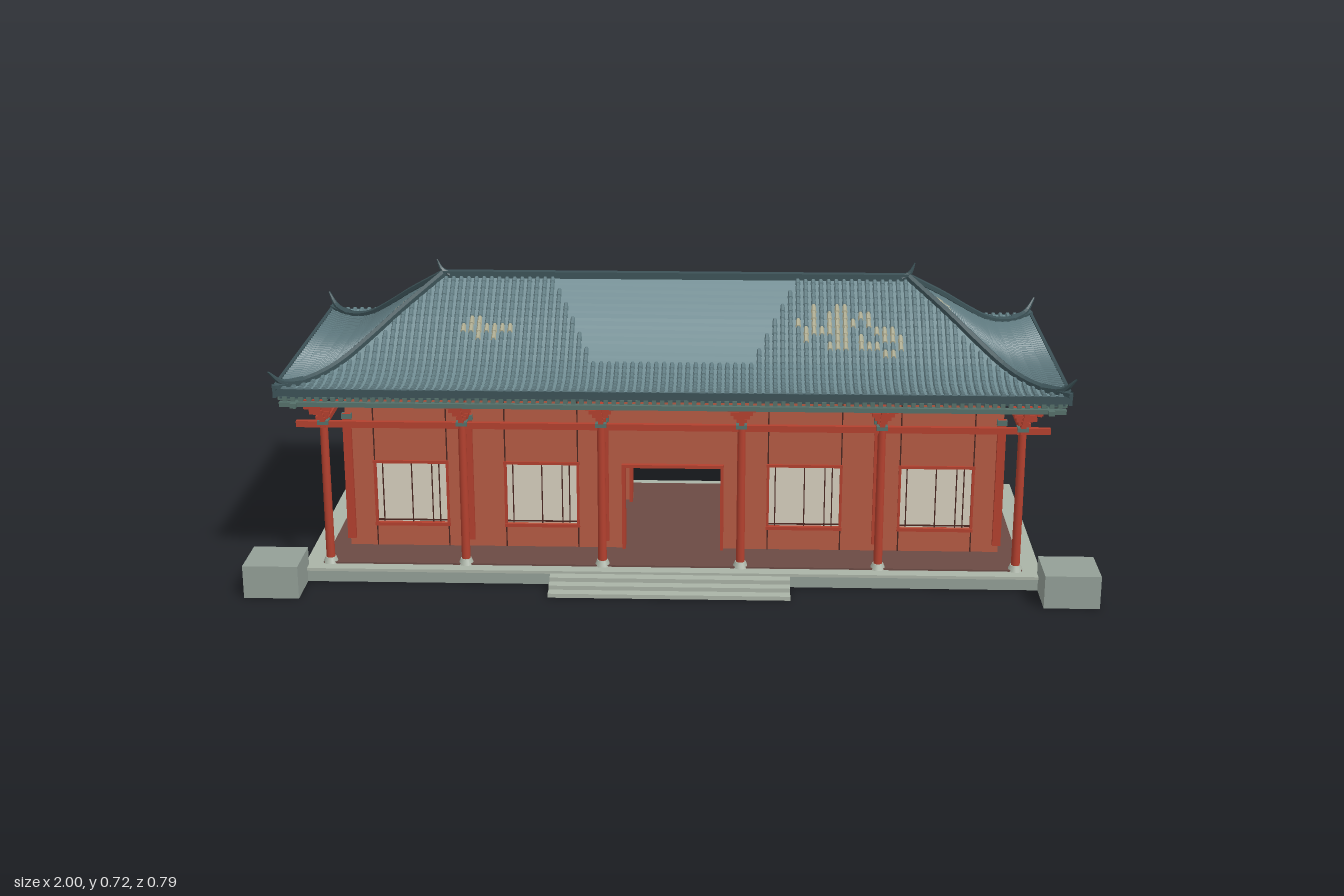
import * as THREE from 'three';
import { mergeGeometries } from 'three/addons/utils/BufferGeometryUtils.js';

const mat = (color, extra = {}) => new THREE.MeshStandardMaterial({ color, ...extra });
const STONE = mat(0x939f97), PALE = mat(0xaab3a6), WALL = mat(0xb55a43), RED = mat(0xb3402e);
const PAPER = mat(0xd6cfbd), FLOOR = mat(0x6b4a44), DARK = mat(0x4a2620), GREEN = mat(0x55706a);
const RIDGE = mat(0x3c5257, { flatShading: true, side: THREE.DoubleSide });
const ROOF = mat(0x6f8b91, { flatShading: true, side: THREE.DoubleSide });
const TILE = mat(0x617c82, { flatShading: true, side: THREE.DoubleSide });
const AGED = mat(0xa9a78c, { flatShading: true, side: THREE.DoubleSide });

// Roof plan (half sizes) and concave slope heights from ridge to eave
const RX = 0.565, EX = 0.915, EZ = 0.355;
const HEIGHTS = [0.678, 0.653, 0.628, 0.602, 0.574, 0.547, 0.522, 0.504, 0.494, 0.491, 0.494];
const roofY = (t) => {
  const i = Math.min(9, Math.floor(t * 10));
  return THREE.MathUtils.lerp(HEIGHTS[i], HEIGHTS[i + 1], t * 10 - i);
};
const hipX = (t) => RX + (EX - RX) * t;
const COLS = [-0.82, -0.493, -0.165, 0.165, 0.493, 0.82];

// Box from its min and max corners
const boxGeo = (x0, x1, y0, y1, z0, z1) =>
  new THREE.BoxGeometry(x1 - x0, y1 - y0, z1 - z0).translate((x0 + x1) / 2, (y0 + y1) / 2, (z0 + z1) / 2);

// Collects quads into a flat-shaded geometry
class Quads {
  p = [];
  add(a, b, c, d) { for (const v of [a, b, c, a, c, d]) this.p.push(v.x, v.y, v.z); }
  geometry() {
    const g = new THREE.BufferGeometry();
    g.setAttribute('position', new THREE.Float32BufferAttribute(this.p, 3));
    g.computeVertexNormals();
    return g;
  }
}

export function createModel() {
  const model = new THREE.Group();
  const hall = new THREE.Group();
  hall.name = 'hall';
  hall.position.z = -0.028;
  model.add(hall);
  const add = (name, geo, material, parent = hall) => {
    const m = new THREE.Mesh(Array.isArray(geo) ? mergeGeometries(geo) : geo, material);
    m.name = name;
    parent.add(m);
    return m;
  };

  // Platform, floor, steps and corner blocks
  add('platform', boxGeo(-0.872, 0.872, 0, 0.029, -0.316, 0.316), STONE);
  add('platformTop', boxGeo(-0.88, 0.88, 0.029, 0.036, -0.322, 0.322), PALE);
  add('floor', boxGeo(-0.835, 0.835, 0.036, 0.04, -0.29, 0.29), FLOOR);
  [0, 1, 2].forEach((i) => add('step', boxGeo(-0.287, 0.283, 0, 0.01 * (i + 1), 0.27, 0.37 - 0.025 * i), PALE, model));
  for (const s of [-1, 1]) add('cornerBlock', boxGeo(0.87, 1, 0, 0.08, 0.27, 0.395).translate(s < 0 ? -1.87 : 0, 0, 0), STONE, model);

  // Wall with rectangular holes, paper panes, frames and glazing bars
  const wall = (half, windows, door) => {
    const g = new THREE.Group();
    const rect = (T, x0, x1, y0, y1) => new T([[x0, y0], [x1, y0], [x1, y1], [x0, y1]].map((p) => new THREE.Vector2(...p)));
    const shape = door
      ? new THREE.Shape([[-half, 0.04], [-0.115, 0.04], [-0.115, 0.25], [0.115, 0.25], [0.115, 0.04], [half, 0.04], [half, 0.44], [-half, 0.44]].map((p) => new THREE.Vector2(...p)))
      : rect(THREE.Shape, -half, half, 0.04, 0.44);
    const frames = [], bars = [], panes = [], joints = [];
    for (const [c, w] of windows) {
      const a = c - w / 2, b = c + w / 2;
      shape.holes.push(rect(THREE.Path, a, b, 0.1, 0.253));
      panes.push(boxGeo(a, b, 0.1, 0.253, -0.011, -0.007));
      frames.push(boxGeo(a - 0.004, b + 0.004, 0.092, 0.1, -0.01, 0.005), boxGeo(a - 0.004, b + 0.004, 0.253, 0.26, -0.01, 0.005));
      for (const x of [a, b]) {
        frames.push(boxGeo(x - 0.003, x + 0.003, 0.1, 0.253, -0.01, 0.004));
        joints.push(boxGeo(x - 0.0015, x + 0.0015, 0.04, 0.092, -0.002, 0.001), boxGeo(x - 0.0015, x + 0.0015, 0.26, 0.44, -0.002, 0.001));
      }
      for (const f of [0.1, 0.5, 0.78, 0.88]) bars.push(boxGeo(a + f * w - 0.0013, a + f * w + 0.0013, 0.1, 0.253, -0.009, -0.004));
      bars.push(boxGeo(a, b, 0.103, 0.106, -0.009, -0.004));
    }
    add('wallPanel', new THREE.ExtrudeGeometry(shape, { depth: 0.012, bevelEnabled: false }).translate(0, 0, -0.012), WALL, g);
    add('windowPanes', panes, PAPER, g);
    add('windowFrames', frames, RED, g);
    add('windowBars', bars, DARK, g);
    add('wallJoints', joints, DARK, g);
    if (door) {
      add('doorFrame', [boxGeo(-0.123, -0.115, 0.04, 0.258, -0.03, 0.012), boxGeo(0.115, 0.123, 0.04, 0.258, -0.03, 0.012),
        boxGeo(-0.115, 0.115, 0.25, 0.258, -0.03, 0.012)], RED, g);
    }
    hall.add(g);
    return g;
  };
  const bays = [-0.635, -0.318, 0.318, 0.635].map((x) => [x, 0.176]);
  for (const s of [1, -1]) {
    const long = wall(0.79, bays, true);
    long.name = s > 0 ? 'frontWall' : 'backWall';
    long.position.z = s * 0.174;
    if (s < 0) long.rotation.y = Math.PI;
    const side = wall(0.174, [[0, 0.19]], false);
    side.name = s > 0 ? 'leftWall' : 'rightWall';
    side.position.x = s * 0.79;
    side.rotation.y = s * Math.PI / 2;
  }

  // Columns, plinths, wall posts and stepped brackets
  const posts = [], plinths = [], arms = [], wallPosts = [], caps = [];
  for (const s of [-1, 1]) for (const x of COLS) {
    const z = s * 0.278;
    posts.push(new THREE.CylinderGeometry(0.0095, 0.0105, 0.35, 14).translate(x, 0.215, z));
    plinths.push(new THREE.CylinderGeometry(0.013, 0.019, 0.014, 14).translate(x, 0.043, z));
    const wx = Math.sign(x) * Math.min(Math.abs(x), 0.785);
    wallPosts.push(boxGeo(wx - 0.01, wx + 0.01, 0.06, 0.38, s * 0.179 - 0.006, s * 0.179 + 0.006));
    caps.push(boxGeo(x - 0.013, x + 0.013, 0.386, 0.396, z - 0.013, z + 0.013), boxGeo(wx - 0.012, wx + 0.012, 0.367, 0.38, s * 0.179 - 0.008, s * 0.179 + 0.008));
    for (let i = 0; i < 4; i++) {
      const y = 0.396 + i * 0.0135, out = 0.018 + i * 0.014, w = 0.012 + i * 0.007;
      const zm = z + s * (out - 0.012);
      arms.push(boxGeo(x - 0.006, x + 0.006, y, y + 0.009, Math.min(z - s * 0.02, z + s * out), Math.max(z - s * 0.02, z + s * out)));
      arms.push(boxGeo(x - w, x + w, y + 0.005, y + 0.0135, zm - 0.005, zm + 0.005));
      if (Math.abs(x) > 0.8) {
        const q = Math.sign(x), xm = x + q * (out - 0.012);
        arms.push(boxGeo(Math.min(x, x + q * out), Math.max(x, x + q * out), y, y + 0.009, z - 0.006, z + 0.006));
        arms.push(boxGeo(xm - 0.005, xm + 0.005, y + 0.005, y + 0.0135, z - w, z + w));
      }
    }
  }
  add('columns', posts, RED);
  add('columnPlinths', plinths, PALE);
  add('wallPosts', wallPosts, RED);
  add('columnCaps', caps, GREEN);
  add('brackets', arms, RED);

  // Tie beams and eave purlins
  const ties = [], purlins = [];
  for (const s of [-1, 1]) {
    ties.push(boxGeo(-0.885, 0.885, 0.378, 0.393, s * 0.278 - 0.006, s * 0.278 + 0.006));
    ties.push(boxGeo(s * 0.82 - 0.006, s * 0.82 + 0.006, 0.379, 0.392, -0.29, 0.29));
    for (const x of COLS) ties.push(boxGeo(x - 0.005, x + 0.005, 0.379, 0.391, Math.min(s * 0.17, s * 0.278), Math.max(s * 0.17, s * 0.278)));
    purlins.push(boxGeo(-0.91, 0.91, 0.445, 0.456, s * 0.33 - 0.007, s * 0.33 + 0.007));
    purlins.push(boxGeo(s * 0.875 - 0.007, s * 0.875 + 0.007, 0.445, 0.456, -0.35, 0.35));
  }
  add('tieBeams', ties, RED);
  add('eavePurlins', purlins, GREEN);

  // Roof shell, fascia, soffit and rafter ends
  const V = (x, y, z) => new THREE.Vector3(x, y, z);
  const shell = new Quads();
  for (const s of [-1, 1]) for (let i = 0; i < 20; i++) {
    const a = i / 20, b = (i + 1) / 20, ya = roofY(a), yb = roofY(b);
    shell.add(V(-s * hipX(a), ya, s * EZ * a), V(-s * hipX(b), yb, s * EZ * b), V(s * hipX(b), yb, s * EZ * b), V(s * hipX(a), ya, s * EZ * a));
    shell.add(V(s * hipX(a), ya, s * EZ * a), V(s * hipX(b), yb, s * EZ * b), V(s * hipX(b), yb, -s * EZ * b), V(s * hipX(a), ya, -s * EZ * a));
  }
  add('roofShell', shell.geometry(), ROOF);
  const fascia = [boxGeo(-EX + 0.01, EX - 0.01, 0.468, 0.472, -EZ + 0.01, EZ - 0.01)], rafters = [];
  for (const s of [-1, 1]) {
    fascia.push(boxGeo(-EX, EX, 0.476, 0.494, s * EZ - 0.005, s * EZ + 0.001));
    fascia.push(boxGeo(s * EX - 0.004, s * EX + 0.004, 0.472, 0.501, -EZ, EZ));
    for (let i = -48; i <= 48; i++) rafters.push(boxGeo(i * 0.0186 - 0.005, i * 0.0186 + 0.005, 0.463, 0.474, s * 0.325 - 0.026, s * 0.325 + 0.026));
    for (let i = -18; i <= 18; i++) rafters.push(boxGeo(s * 0.885 - 0.026, s * 0.885 + 0.026, 0.463, 0.474, i * 0.0186 - 0.005, i * 0.0186 + 0.005));
  }
  add('eaveFascia', fascia, RIDGE);
  add('rafterEnds', rafters, GREEN);

  // Rows of overlapping roll tiles, some of them aged
  const tiles = new Quads(), aged = new Quads(), N = 20;
  const spots = [[0.38, 0.13, 0.1], [0.5, 0.17, 0.06], [-0.45, 0.14, 0.06], [0.3, -0.14, 0.09], [0.4, -0.21, 0.06], [0.64, 0, 0.05], [-0.64, 0, 0.05]];
  const noise = (a, b) => { const v = Math.sin(a * 127.1 + b * 311.7) * 43758.5453; return v - Math.floor(v); };
  const roll = (at, across, t0, size) => {
    const ring = (p, r) => [[-1, 0], [-0.5, 0.9], [0.5, 0.9], [1, 0]].map(([u, h]) => p.clone().addScaledVector(across, u * r).setY(p.y + h * r));
    for (let i = Math.ceil(t0 * N); i < N; i++) {
      const a = at(i / N), b = at((i + 1) / N);
      const near = spots.some(([x, z, r]) => Math.hypot(b.x - x, (b.z - z) * 2) < r);
      const out = near && noise(Math.round(b.x * 50), Math.round(b.z * 70)) > 0.45 ? aged : tiles;
      const A = ring(a, 0.0048 * size(i / N)), B = ring(b, 0.0066 * size((i + 1) / N));
      for (let k = 0; k < 3; k++) out.add(A[k], B[k], B[k + 1], A[k + 1]);
      out.add(B[0], B[3], B[2], B[1]);
    }
  };
  for (const s of [-1, 1]) {
    for (let i = -48; i <= 48; i++) {
      const x = i * 0.0186, ax = Math.abs(x);
      // Plain middle patch of the long slopes carries no rolls
      const patch = THREE.MathUtils.clamp((0.29 - ax) / 0.1, 0, 1) * 0.56;
      roll((t) => V(x, roofY(t), s * EZ * t), V(1, 0, 0), Math.max(0, (ax - RX) / (EX - RX), patch), () => 1);
    }
    for (let i = -18; i <= 18; i++) {
      const z = i * 0.0186;
      roll((t) => V(s * hipX(t), roofY(t), z * t), V(0, 0, 1), 0.05, (t) => 0.2 + 0.8 * t);
    }
  }
  add('rollTiles', tiles.geometry(), TILE);
  add('agedTiles', aged.geometry(), AGED);

  // Main ridge, hip ridges and upturned horns
  add('mainRidge', [boxGeo(-RX, RX, 0.672, 0.687, -0.007, 0.007), boxGeo(-RX, RX, 0.685, 0.69, -0.01, 0.01)], RIDGE);
  const horn = (name, pts, r) => {
    const curve = new THREE.CatmullRomCurve3(pts);
    const g = new THREE.TubeGeometry(curve, 8, r, 6, false), p = g.attributes.position;
    for (let i = 0; i < p.count; i++) {
      const u = Math.floor(i / 7) / 8, c = curve.getPointAt(u), v = V(0, 0, 0).fromBufferAttribute(p, i);
      v.sub(c).multiplyScalar(1 - 0.85 * u).add(c);
      p.setXYZ(i, v.x, v.y, v.z);
    }
    add(name, g, RIDGE);
  };
  for (const sx of [-1, 1]) {
    horn('ridgeHorn', [V(sx * 0.55, 0.68, 0), V(sx * 0.568, 0.692, 0), V(sx * 0.58, 0.718, 0)], 0.009);
    for (const sz of [-1, 1]) {
      const path = HEIGHTS.map((y, i) => V(sx * hipX(i / 10), y + 0.005, sz * EZ * i / 10));
      add('hipRidge', new THREE.TubeGeometry(new THREE.CatmullRomCurve3(path), 24, 0.0095, 6, false), RIDGE);
      horn('cornerHorn', [V(sx * 0.86, 0.495, sz * 0.3), V(sx * 0.9, 0.506, sz * 0.34), V(sx * 0.924, 0.538, sz * 0.365)], 0.014);
    }
  }
  return model;
}
